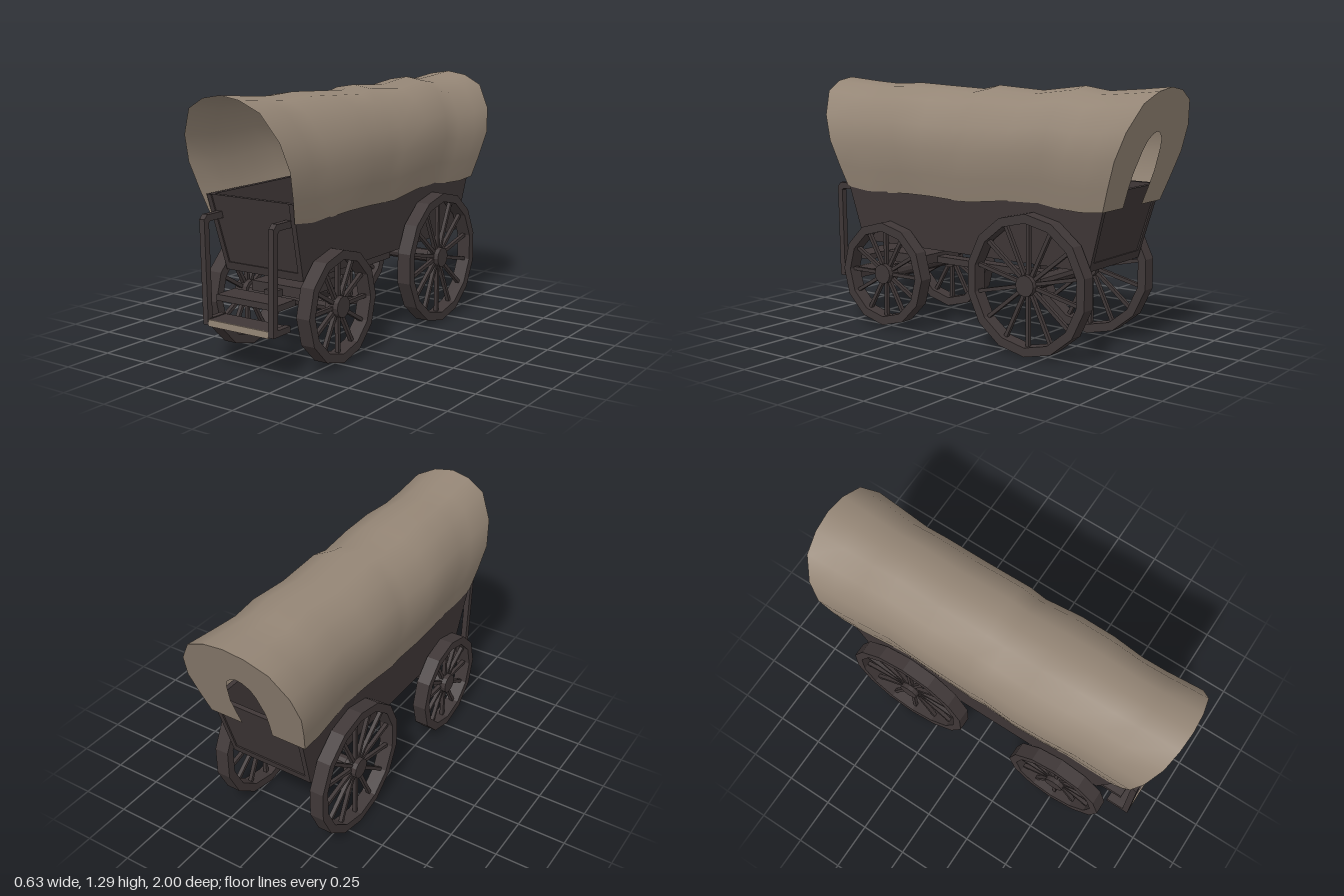
import * as THREE from 'three';

const darkWood = new THREE.MeshStandardMaterial({ color: 0x3f3737 });
darkWood.name = 'darkWood';
darkWood.flatShading = true;
const canvas = new THREE.MeshStandardMaterial({ color: 0x958676, side: THREE.DoubleSide });
canvas.name = 'canvas';

function add(parent, name, geometry, material = darkWood) {
  const mesh = new THREE.Mesh(geometry, material);
  mesh.name = name;
  parent.add(mesh);
  return mesh;
}

function box(parent, name, size, position, material) {
  const mesh = add(parent, name, new THREE.BoxGeometry(...size), material);
  mesh.position.set(...position);
  return mesh;
}

// Wagon bed boards: boxes that flare outwards with height
function bedBoard(parent, name, size, position) {
  const g = new THREE.BoxGeometry(...size).translate(...position);
  const p = g.attributes.position;
  for (let i = 0; i < p.count; i++) {
    const rise = p.getY(i) - 0.435;
    p.setX(i, p.getX(i) + Math.sign(p.getX(i)) * 0.067 * rise);
    p.setZ(i, p.getZ(i) + Math.sign(p.getZ(i)) * 0.28 * rise);
  }
  g.computeVertexNormals();
  add(parent, name, g);
}

// Spoked wheel with its axle along x
function makeWheel(name, radius, sides) {
  const wheel = new THREE.Group();
  wheel.name = name;
  const inner = radius - 0.045, w = 0.037;
  const profile = [[radius, -w], [radius, w], [inner, w], [inner, -w], [radius, -w]]
    .map(([x, y]) => new THREE.Vector2(x, y));
  add(wheel, 'rim', new THREE.LatheGeometry(profile, sides, Math.PI / 2).rotateZ(Math.PI / 2));
  add(wheel, 'hub', new THREE.CylinderGeometry(0.052, 0.052, 0.07, 12).rotateZ(Math.PI / 2));
  for (let i = 0; i < sides; i++) {
    const g = new THREE.BoxGeometry(0.02, inner, 0.018).translate(0, inner / 2, 0);
    add(wheel, 'spoke', g).rotation.x = (i / sides) * Math.PI * 2;
  }
  return wheel;
}

// Half of the cover's arch: share of half width, share of height
const arch = [[0.85, 0], [0.93, 0.2], [1, 0.43], [0.93, 0.66], [0.69, 0.88], [0.35, 0.97], [0, 1]];
const fullArch = [...arch, ...arch.slice(0, -1).reverse().map(([x, y]) => [-x, y])];

// Cover stations along the wagon: position, half width, hem height, top height
const stations = [
  [1, 0.29, 0.72, 1.29], [0.8, 0.285, 0.7, 1.272], [0.66, 0.285, 0.705, 1.263],
  [0.48, 0.3, 0.715, 1.27], [0.28, 0.305, 0.715, 1.26], [0.07, 0.29, 0.705, 1.25],
  [-0.03, 0.297, 0.705, 1.27], [-0.3, 0.295, 0.73, 1.252], [-0.54, 0.288, 0.735, 1.28],
  [-0.68, 0.292, 0.72, 1.26], [-0.85, 0.305, 0.715, 1.272], [-1, 0.313, 0.725, 1.286],
];
const slantZ = (s, y) => s * (0.8 + 0.2 * (y - 0.72) / 0.57);

function makeCover(parent) {
  const pos = [], index = [], n = fullArch.length;
  stations.forEach(([s, w, low, high], r) => {
    fullArch.forEach(([ax, ay], c) => {
      const y = low + (high - low) * ay;
      pos.push(ax * w, y, slantZ(s, y));
      if (r > 0 && c > 0) {
        const d = r * n + c, a = d - n;
        index.push(a - 1, d, d - 1, a - 1, a, d);
      }
    });
  });
  const g = new THREE.BufferGeometry();
  g.setAttribute('position', new THREE.Float32BufferAttribute(pos, 3));
  g.setIndex(index);
  g.computeVertexNormals();
  add(parent, 'canvasCover', g, canvas);

  // Rear curtain with an arched opening
  const [s, w, low, high] = stations[stations.length - 1];
  const half = [[0.085, low], [0.095, 0.82], [0.098, 0.89], [0.08, 1], [0.062, 1.045], [0.03, 1.073]];
  const outline = [
    ...fullArch.map(([x, y]) => [x * w, low + (high - low) * y]),
    ...half.map(([x, y]) => [-x, y]), [0, 1.082], ...half.slice().reverse(),
  ].map(([x, y]) => new THREE.Vector2(x, y));
  const curtain = new THREE.ShapeGeometry(new THREE.Shape(outline));
  const p = curtain.attributes.position;
  for (let i = 0; i < p.count; i++) p.setZ(i, slantZ(s, p.getY(i)));
  curtain.computeVertexNormals();
  add(parent, 'rearCurtain', curtain, canvas);
}

export function createModel() {
  const wagon = new THREE.Group();
  wagon.name = 'coveredWagon';

  // Bed
  const bed = new THREE.Group();
  bed.name = 'bed';
  wagon.add(bed);
  bedBoard(bed, 'floor', [0.44, 0.04, 1.42], [0, 0.455, 0]);
  for (const side of [1, -1]) {
    bedBoard(bed, 'sideWall', [0.025, 0.375, 1.42], [side * 0.2125, 0.6225, 0]);
    bedBoard(bed, 'endWall', [0.4, 0.335, 0.025], [0, 0.6425, side * 0.69]);
  }

  makeCover(wagon);

  // Wheels and axles: name, z, radius, sides, distance from the middle
  for (const [name, z, y, r, sides, x] of [
    ['front', 0.508, 0.285, 0.272, 12, 0.272],
    ['rear', -0.407, 0.345, 0.345, 14, 0.28],
  ]) {
    for (const side of [1, -1]) {
      const wheel = makeWheel(name + 'Wheel', r, sides);
      wheel.position.set(side * x, y, z);
      wagon.add(wheel);
    }
    const axle = new THREE.CylinderGeometry(0.034, 0.034, x * 2, 10).rotateZ(Math.PI / 2);
    add(wagon, name + 'Axle', axle).position.set(0, y, z);
  }

  // Undercarriage
  box(wagon, 'reachPole', [0.07, 0.034, 1.0], [0, 0.338, 0.17]);
  box(wagon, 'bolster', [0.3, 0.05, 0.26], [0, 0.348, 0.49]);
  box(wagon, 'upperStep', [0.36, 0.03, 0.13], [0, 0.333, 0.777]);

  // Front step frame
  for (const side of [1, -1]) {
    box(wagon, 'frameTop', [0.03, 0.032, 0.13], [side * 0.2, 0.714, 0.82]);
    const post = box(wagon, 'framePost', [0.03, 0.49, 0.032], [side * 0.195, 0.465, 0.893]);
    post.rotation.z = -side * 0.02;
    const corner = box(wagon, 'frameCorner', [0.03, 0.036, 0.03], [side * 0.2, 0.708, 0.884]);
    corner.rotation.x = Math.PI / 4;
    box(wagon, 'frameFoot', [0.03, 0.03, 0.125], [side * 0.19, 0.23, 0.845]);
  }
  box(wagon, 'footboard', [0.35, 0.03, 0.12], [0, 0.226, 0.843]);
  box(wagon, 'footboardEdge', [0.35, 0.032, 0.006], [0, 0.226, 0.905], canvas);

  return wagon;
}
